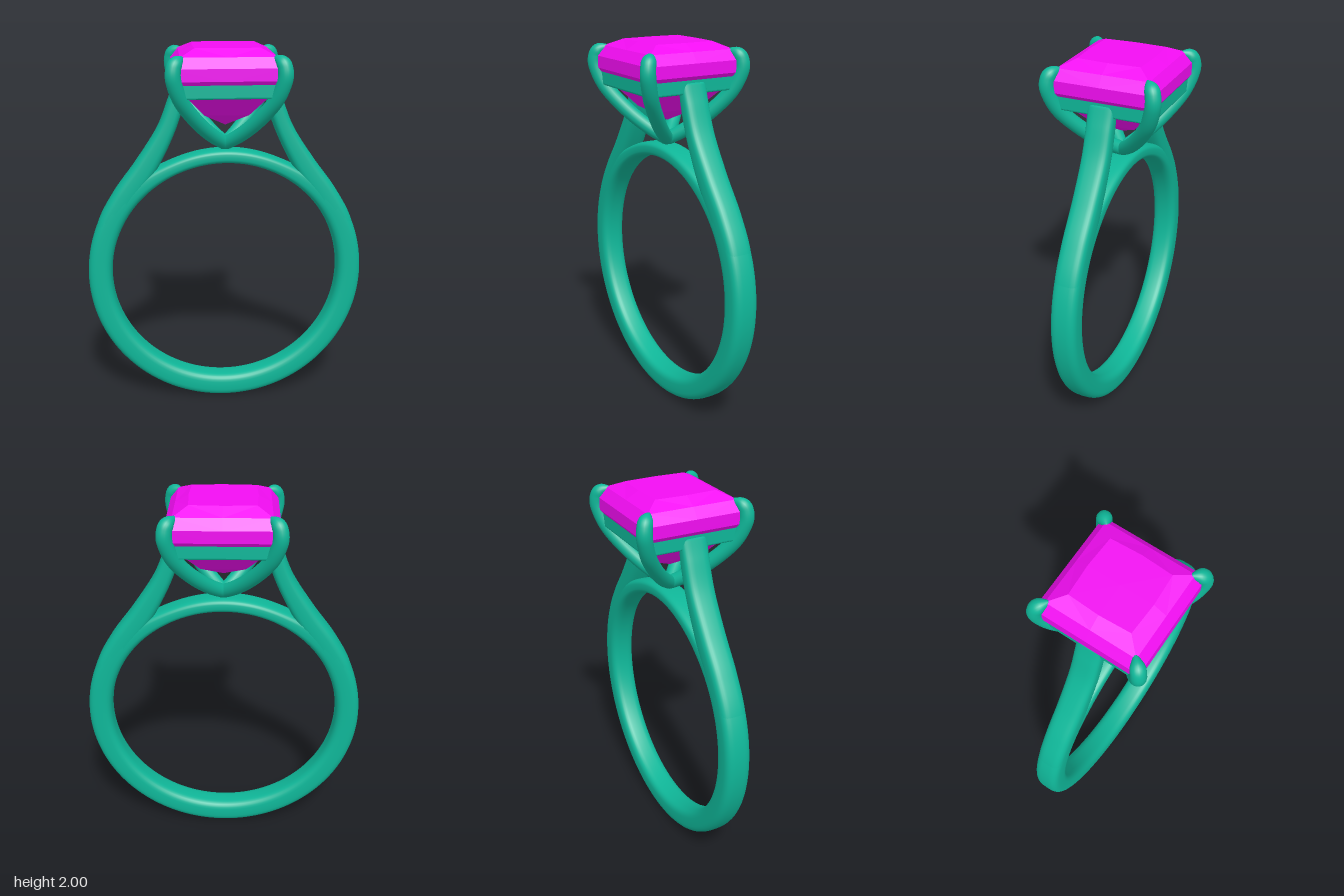
import * as THREE from 'three';

const metal = new THREE.MeshStandardMaterial({ color: 0x0fb698 });
const violet = new THREE.MeshStandardMaterial({ color: 0xf20df2 });

function buildGeometry(positions, indices) {
  const geo = new THREE.BufferGeometry();
  geo.setAttribute('position', new THREE.Float32BufferAttribute(positions, 3));
  geo.setIndex(indices);
  return geo;
}

// Sweeps a rounded section along a path in the upright plane z = 0.
// Each station is [x, y, half thickness in the plane, half width across it].
function sweep(stations, { closed = false, steps = 48, sides = 24, power = 2 } = {}) {
  const path = new THREE.CatmullRomCurve3(
    stations.map(s => new THREE.Vector3(s[0], s[1], 0)), closed, 'catmullrom');
  const size = new THREE.CatmullRomCurve3(
    stations.map(s => new THREE.Vector3(s[2], s[3], 0)), closed, 'catmullrom');
  const rows = closed ? steps : steps + 1;
  const positions = [], indices = [];
  const round = v => Math.sign(v) * Math.pow(Math.abs(v), 2 / power);
  for (let i = 0; i < rows; i++) {
    const t = i / steps;
    const p = path.getPoint(t), tan = path.getTangent(t), s = size.getPoint(t);
    const k = !closed && (i === 0 || i === steps) ? 0 : 1; // ends close to a point
    for (let j = 0; j < sides; j++) {
      const a = (j / sides) * Math.PI * 2;
      const n = round(Math.cos(a)) * s.x * k;
      const b = round(Math.sin(a)) * s.y * k;
      positions.push(p.x + tan.y * n, p.y - tan.x * n, b);
    }
  }
  for (let i = 0; i < (closed ? rows : rows - 1); i++) {
    for (let j = 0; j < sides; j++) {
      const i2 = (i + 1) % rows, j2 = (j + 1) % sides;
      const a = i * sides + j, b = i * sides + j2, c = i2 * sides + j, d = i2 * sides + j2;
      indices.push(a, c, b, b, c, d);
    }
  }
  const geo = buildGeometry(positions, indices);
  geo.computeVertexNormals();
  return geo;
}

// Faceted square stone: eight-point loops [half side, y, bulge of the side middles]
function stoneGeometry() {
  const levels = [
    [0, 1.585, 1], [0.115, 1.655, 1.06], [0.2, 1.755, 1.04], [0.28, 1.85, 1],
    [0.28, 1.912, 1], [0.24, 1.963, 1], [0.165, 2, 1.05], [0, 2, 1],
  ];
  const corners = [[1, 0], [1, 1], [0, 1], [-1, 1], [-1, 0], [-1, -1], [0, -1], [1, -1]];
  const positions = [], indices = [];
  for (const [r, y, bulge] of levels) {
    corners.forEach(([x, z], j) => {
      const k = j % 2 ? r : r * bulge;
      positions.push(x * k, y, z * k);
    });
  }
  for (let i = 0; i < levels.length - 1; i++) {
    for (let j = 0; j < 8; j++) {
      const a = i * 8 + j, b = i * 8 + (j + 1) % 8, c = a + 8, d = b + 8;
      // mirrored diagonals keep the facets symmetrical
      if (j % 2) indices.push(a, c, b, b, c, d);
      else indices.push(a, c, d, a, d, b);
    }
  }
  const geo = buildGeometry(positions, indices).toNonIndexed();
  geo.computeVertexNormals();
  return geo;
}

function square(Type, r) {
  const s = new Type();
  s.moveTo(-r, -r).lineTo(r, -r).lineTo(r, r).lineTo(-r, r).closePath();
  return s;
}

export function createModel() {
  const model = new THREE.Group();
  const add = (name, geometry, material = metal) => {
    const mesh = new THREE.Mesh(geometry, material);
    mesh.name = name;
    model.add(mesh);
    return mesh;
  };

  // Band: constant inner radius, thinning into the bridge at the top
  const band = [];
  for (let i = 0; i < 64; i++) {
    const a = (i / 64) * Math.PI * 2;
    const thin = THREE.MathUtils.smoothstep(Math.sin(a), 0.5, 0.95);
    const half = 0.065 - 0.027 * thin;
    const r = 0.625 + half;
    band.push([Math.cos(a) * r, 0.758 + Math.sin(a) * r, half, 0.071 - 0.003 * thin]);
  }
  add('band', sweep(band, { closed: true, steps: 160, sides: 32, power: 3.2 }));

  // Shoulders rising from the band to the setting
  const shoulder = [
    [0.688, 0.8, 0.055, 0.066], [0.64, 1.02, 0.063, 0.07], [0.55, 1.19, 0.064, 0.071],
    [0.43, 1.36, 0.06, 0.071], [0.32, 1.55, 0.048, 0.071],
    [0.26, 1.71, 0.043, 0.071], [0.235, 1.82, 0.03, 0.071],
  ];
  const shoulderGeo = sweep(shoulder, { steps: 64, sides: 32, power: 3.2 });
  add('leftShoulder', shoulderGeo);
  add('rightShoulder', shoulderGeo).rotation.y = Math.PI;

  // Square rail under the stone
  const frame = square(THREE.Shape, 0.255);
  frame.holes.push(square(THREE.Path, 0.195));
  const railGeo = new THREE.ExtrudeGeometry(frame, {
    depth: 0.07, bevelSize: 0.01, bevelThickness: 0.01, bevelSegments: 3,
  });
  railGeo.rotateX(-Math.PI / 2);
  add('rail', railGeo).position.y = 1.77;

  // Four claws curving out from the centre to the corners of the stone
  const claw = [
    [-0.02, 1.47, 0.036, 0.036], [0.07, 1.54, 0.038, 0.038], [0.155, 1.63, 0.039, 0.039],
    [0.235, 1.745, 0.039, 0.039], [0.272, 1.85, 0.04, 0.039], [0.273, 1.91, 0.039, 0.038],
    [0.257, 1.942, 0.033, 0.034], [0.222, 1.958, 0.01, 0.007],
  ].map(([d, y, t, w]) => [d * Math.SQRT2, y, t, w]);
  const clawGeo = sweep(claw, { steps: 70, sides: 20 });
  for (let i = 0; i < 4; i++) {
    add('claw', clawGeo).rotation.y = Math.PI / 4 + (i * Math.PI) / 2;
  }

  add('stone', stoneGeometry(), violet);
  return model;
}
